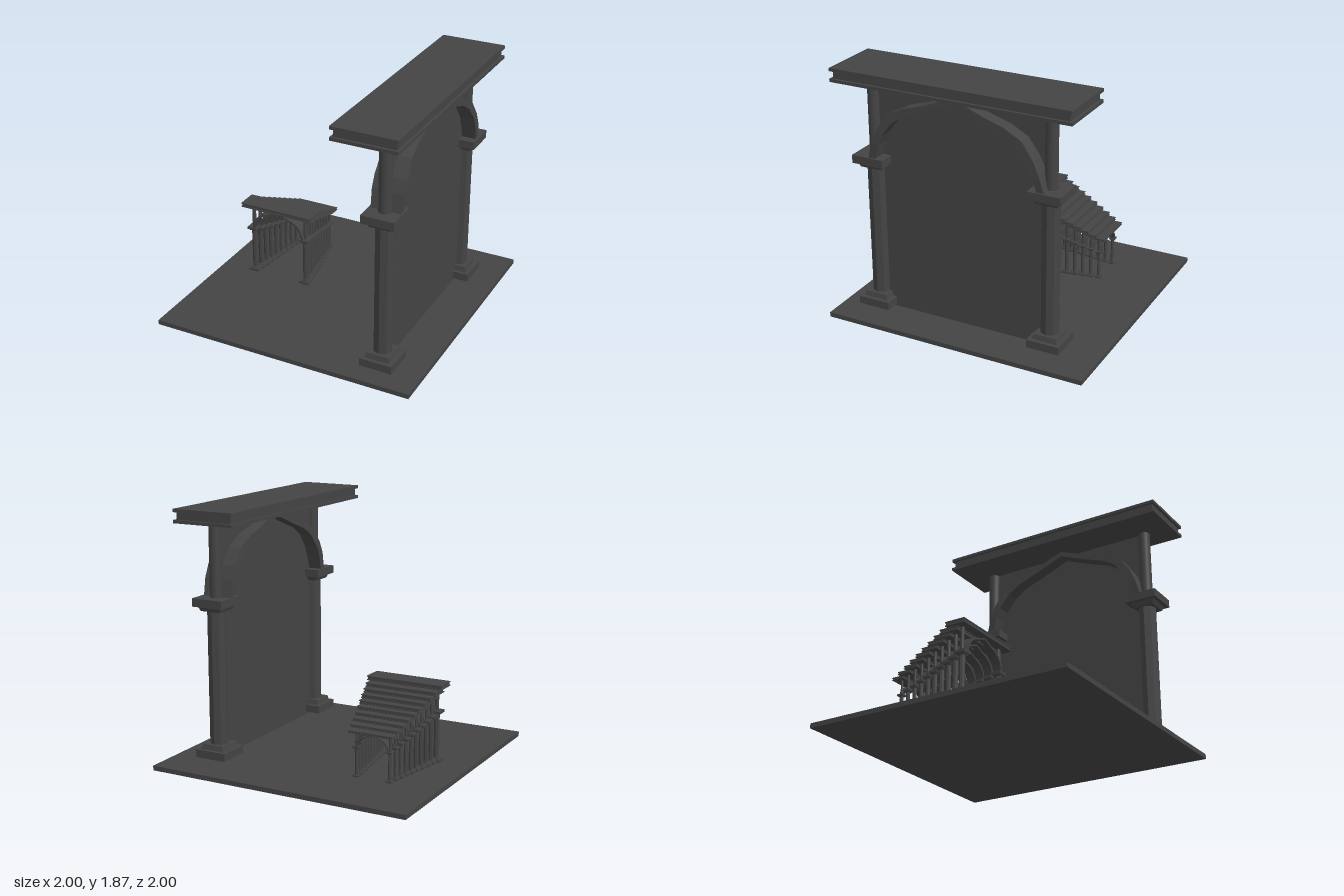
import * as THREE from 'three';

const mat = new THREE.MeshStandardMaterial({ color: 0x444444, flatShading: true });
const smooth = new THREE.MeshStandardMaterial({ color: 0x444444 });
const GROUND = 0.035;

function add(parent, name, geometry, x, y, z, material = mat) {
  const mesh = new THREE.Mesh(geometry, material);
  mesh.name = name;
  mesh.position.set(x, y, z);
  parent.add(mesh);
  return mesh;
}

// box given by its bottom height and its top height
function slab(parent, name, w, y0, y1, d, x = 0) {
  return add(parent, name, new THREE.BoxGeometry(w, y1 - y0, d), x, (y0 + y1) / 2, 0);
}

// square block narrowing from one width to another
function taper(parent, name, bottom, top, y0, y1) {
  const g = new THREE.CylinderGeometry(top / Math.SQRT2, bottom / Math.SQRT2, y1 - y0, 4);
  g.rotateY(Math.PI / 4);
  return add(parent, name, g, 0, (y0 + y1) / 2, 0);
}

function column(parent, name, r, y0, y1, sides, material) {
  return add(parent, name, new THREE.CylinderGeometry(r, r, y1 - y0, sides), 0, (y0 + y1) / 2, 0, material);
}

// eight-sided pillar with base, capital and slim upper column
function pillar(z) {
  const p = new THREE.Group();
  p.name = 'pillar';
  p.position.z = z;
  column(p, 'foot', 0.035, 0, 0.03, 16, smooth);
  slab(p, 'base', 0.245, 0.018, 0.077, 0.245);
  taper(p, 'baseStep', 0.19, 0.17, 0.077, 0.115);
  column(p, 'shaft', 0.0675, 0.115, 1.095, 8, mat);
  taper(p, 'capitalStep', 0.16, 0.19, 1.095, 1.13);
  slab(p, 'capital', 0.245, 1.13, 1.19, 0.245);
  column(p, 'upperColumn', 0.045, 1.19, 1.73, 16, smooth);
  return p;
}

// pointed arch band: four-cornered sections [outer z, y, inner z, y, half depth]
function archBand() {
  const half = [
    [0.675, 1.19, 0.62, 1.19, 0.108],
    [0.64, 1.315, 0.59, 1.295, 0.117],
    [0.6, 1.405, 0.555, 1.375, 0.116],
    [0.515, 1.525, 0.475, 1.48, 0.109],
    [0.384, 1.595, 0.375, 1.545, 0.105],
    [0.235, 1.64, 0.21, 1.605, 0.102],
    [0, 1.73, 0, 1.69, 0.1],
  ];
  const mirrored = half.slice(0, -1).reverse().map(([a, b, c, d, h]) => [-a, b, -c, d, h]);
  const rings = [...half, ...mirrored];
  const verts = [];
  const index = [];
  rings.forEach(([oz, oy, iz, iy, h], i) => {
    verts.push(h, oy, oz, -h, oy, oz, -h, iy, iz, h, iy, iz);
    if (i === 0) return;
    for (let k = 0; k < 4; k++) {
      const a = (i - 1) * 4 + k;
      const b = (i - 1) * 4 + ((k + 1) % 4);
      index.push(a, a + 4, b, b, a + 4, b + 4);
    }
  });
  const g = new THREE.BufferGeometry();
  g.setAttribute('position', new THREE.Float32BufferAttribute(verts, 3));
  g.setIndex(index);
  g.computeVertexNormals();
  return g;
}

// one gateway spanning z, with its lintel offset toward -x
function gateway(name) {
  const g = new THREE.Group();
  g.name = name;
  g.add(pillar(0.68), pillar(-0.68));
  add(g, 'arch', archBand(), 0, 0, 0);
  slab(g, 'lintelBottom', 0.48, 1.73, 1.753, 1.815, -0.05);
  slab(g, 'lintelCore', 0.445, 1.753, 1.807, 1.775, -0.05);
  slab(g, 'lintelTop', 0.48, 1.807, 1.83, 1.815, -0.05);
  return g;
}

export function createModel() {
  const model = new THREE.Group();
  model.name = 'archScene';
  slab(model, 'ground', 2, 0, GROUND, 2);

  // large gateway closed by a thin wall
  const big = gateway('largeGateway');
  big.position.set(0.687, GROUND, 0.064);
  slab(big, 'wall', 0.01, 0, 1.73, 1.36);
  model.add(big);

  // arcade of small gateways shrinking toward the back
  const arcade = new THREE.Group();
  arcade.name = 'arcade';
  for (let i = 0; i < 10; i++) {
    const s = i === 0 ? 0.325 : 0.305 - 0.0144 * (i - 1);
    const arch = gateway('smallGateway');
    arch.scale.setScalar(s);
    arch.rotation.y = -Math.PI / 2;
    arch.position.set(-0.512, GROUND, 0.034 - 0.0615 * i + 0.05 * s);
    arcade.add(arch);
  }
  model.add(arcade);
  return model;
}
